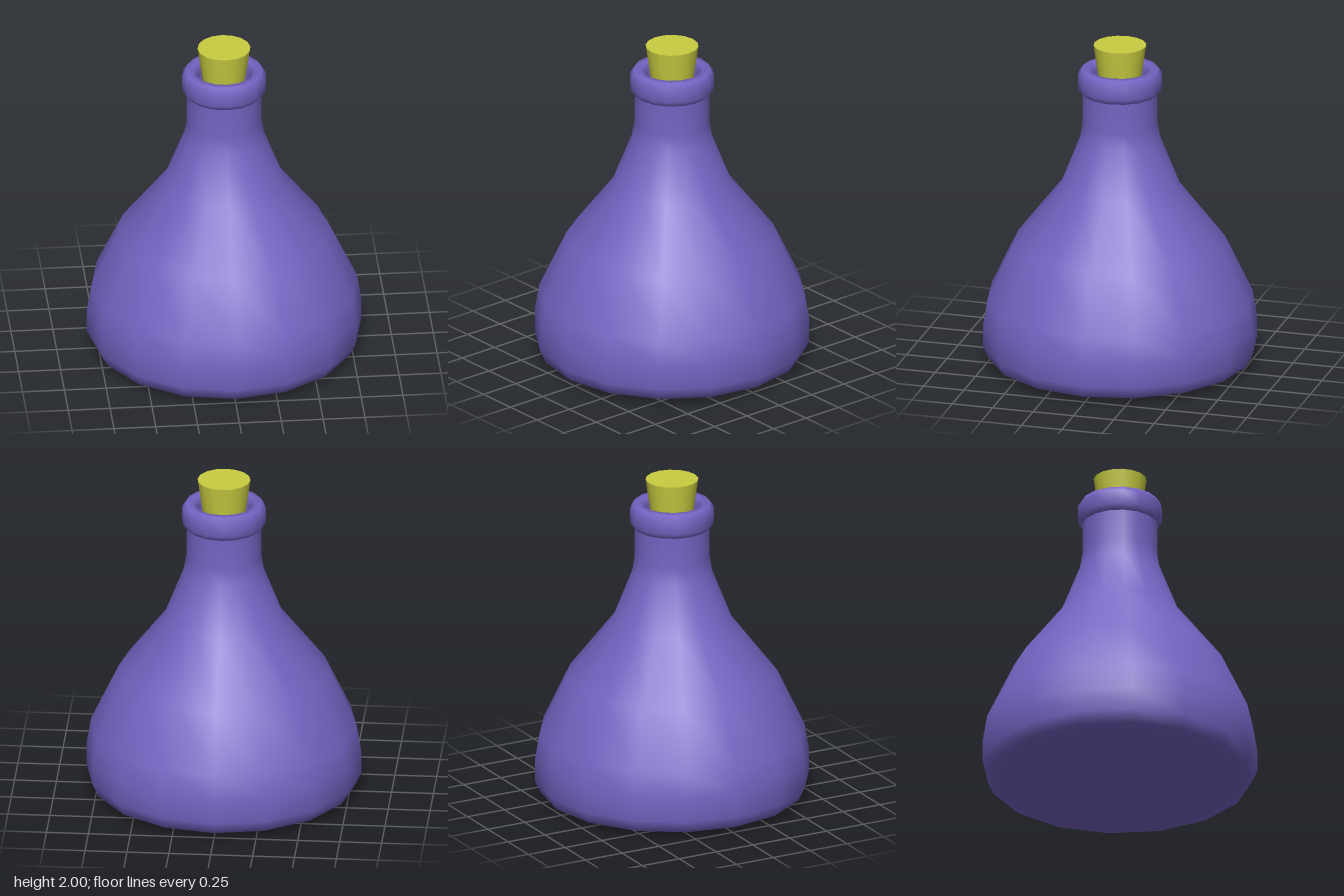
import * as THREE from 'three';

const SIDES = 16;

// Turned part from [radius, height] pairs, listed from the bottom up
function turned(name, profile, color) {
  const points = profile.map(([r, y]) => new THREE.Vector2(r, y));
  const material = new THREE.MeshStandardMaterial({ color, side: THREE.DoubleSide });
  const mesh = new THREE.Mesh(new THREE.LatheGeometry(points, SIDES), material);
  mesh.name = name;
  return mesh;
}

export function createModel() {
  const glass = 0x7463c2;
  const group = new THREE.Group();
  group.name = 'corkedFlask';

  // Round-bellied body tapering into a straight neck
  group.add(turned('body', [
    [0, 0], [0.66, 0], [0.785, 0.045], [0.82, 0.12], [0.82, 0.26], [0.793, 0.42],
    [0.63, 0.765], [0.355, 1.12], [0.24, 1.415], [0.225, 1.51], [0.225, 1.71],
  ], glass));

  // Rounded lip that turns into the mouth
  group.add(turned('lip', [
    [0.222, 1.7], [0.23, 1.702], [0.252, 1.735], [0.252, 1.815],
    [0.228, 1.85], [0.185, 1.85], [0.155, 1.815], [0.15, 1.7],
  ], glass));

  // Tapered cork, its lower end inside the mouth
  const cork = new THREE.Mesh(
    new THREE.CylinderGeometry(0.158, 0.112, 0.32, SIDES),
    new THREE.MeshStandardMaterial({ color: 0xc8cc40 }),
  );
  cork.name = 'cork';
  cork.position.y = 1.84;
  group.add(cork);

  return group;
}
